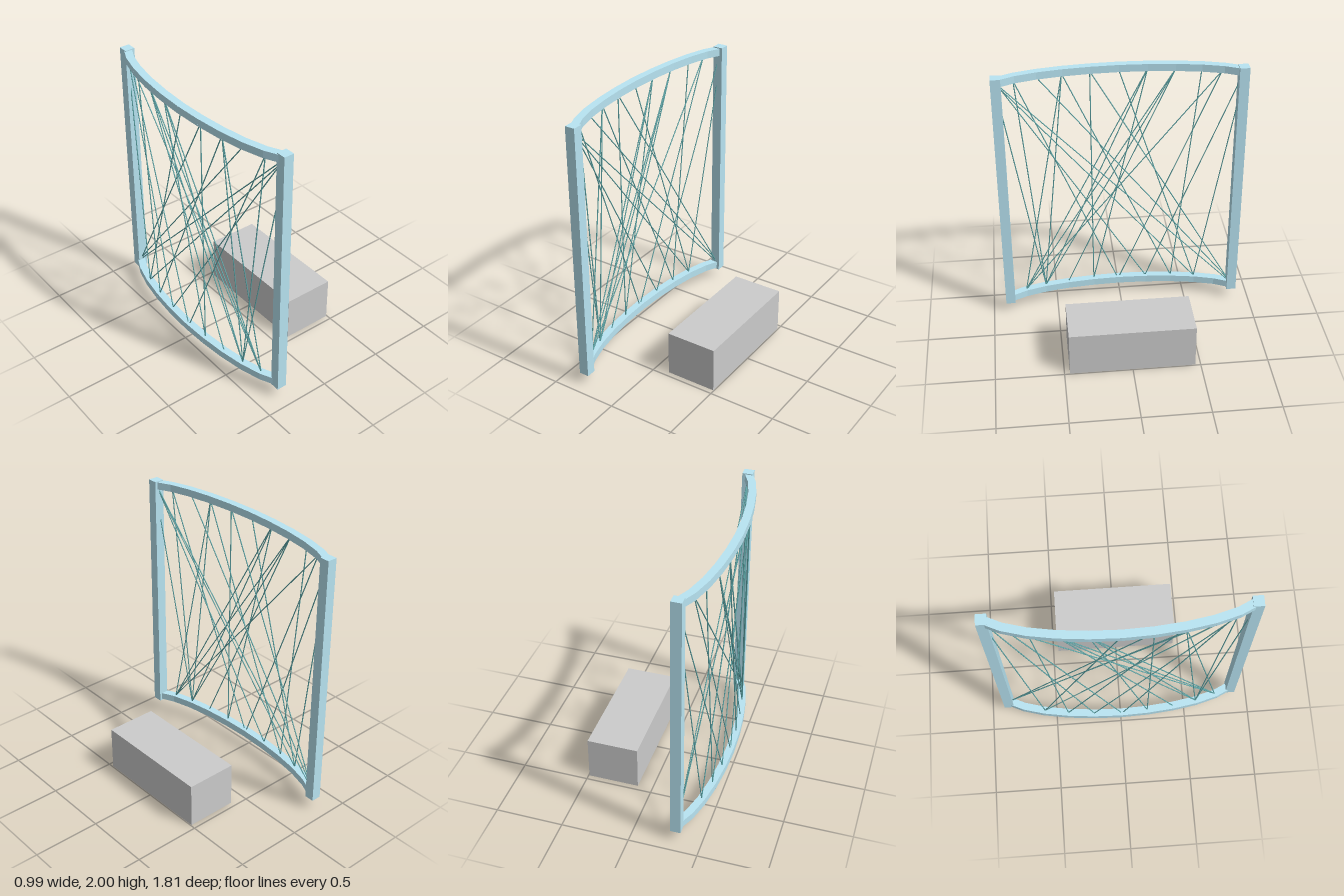
import * as THREE from 'three';

const frameMat = new THREE.MeshStandardMaterial({ color: 0xb8e4f2 });
const stringMat = new THREE.MeshStandardMaterial({ color: 0x5fa8aa });
const benchMat = new THREE.MeshStandardMaterial({ color: 0xcccccc });

// Joints of the bowed rails, as [x, z] from the middle to one end
const half = [[-0.469, 0], [-0.462, 0.205], [-0.443, 0.405], [-0.412, 0.59], [-0.369, 0.745], [-0.315, 0.86]];
const joints = [...half.slice(1).reverse().map(([x, z]) => [x, -z]), ...half];

// Rail centreline x at a given z
function railX(z) {
  const i = Math.max(1, joints.findIndex((joint) => z <= joint[1]));
  const [x0, z0] = joints[i - 1], [x1, z1] = joints[i];
  return x0 + (x1 - x0) * (z - z0) / (z1 - z0);
}

function box(name, w, h, d, x, y, z, mat) {
  const mesh = new THREE.Mesh(new THREE.BoxGeometry(w, h, d), mat);
  mesh.name = name;
  mesh.position.set(x, y, z);
  return mesh;
}

// Bowed rail made of straight, slightly overlapping segments
function rail(name, y) {
  const group = new THREE.Group();
  group.name = name;
  for (let i = 0; i < joints.length - 1; i++) {
    const [x0, z0] = joints[i], [x1, z1] = joints[i + 1];
    const len = Math.hypot(x1 - x0, z1 - z0) + 0.006;
    const seg = box('railSegment', 0.056, 0.055, len, (x0 + x1) / 2, y, (z0 + z1) / 2, frameMat);
    seg.rotation.y = Math.atan2(x1 - x0, z1 - z0);
    group.add(seg);
  }
  return group;
}

// Thin taut string between two points of the frame
function string([zTop, yTop, zBottom, yBottom]) {
  const a = new THREE.Vector3(railX(zTop), yTop, zTop);
  const b = new THREE.Vector3(railX(zBottom), yBottom, zBottom);
  const dir = a.clone().sub(b);
  const mesh = new THREE.Mesh(new THREE.CylinderGeometry(0.004, 0.004, dir.length(), 8), stringMat);
  mesh.name = 'string';
  mesh.position.copy(a).add(b).multiplyScalar(0.5);
  mesh.quaternion.setFromUnitVectors(new THREE.Vector3(0, 1, 0), dir.normalize());
  return mesh;
}

export function createModel() {
  const model = new THREE.Group();
  model.name = 'stringScreenAndBench';

  // Frame
  for (const s of [-1, 1]) {
    model.add(box(s > 0 ? 'frontPost' : 'backPost', 0.074, 1.92, 0.072, -0.315, 1.04, s * 0.867, frameMat));
  }
  model.add(rail('topRail', 1.965), rail('bottomRail', 0.118));

  // Strings: z and y at the top, then z and y at the bottom
  const T = 1.945, B = 0.14;
  const strings = new THREE.Group();
  strings.name = 'strings';
  [
    [0.858, 1.95, -0.858, 0.13],
    [0.858, 1.94, -0.585, B],
    [0.858, 1.95, -0.205, B],
    [0.858, 1.84, 0.585, B],
    [0.745, T, 0.585, B],
    [0.745, T, 0.02, B],
    [0.585, T, -0.858, 0.14],
    [0.405, T, 0.74, B],
    [0.405, T, 0.585, B],
    [0.405, T, -0.405, B],
    [0.205, T, 0.205, B],
    [0.205, T, -0.858, 0.13],
    [0, T, -0.585, B],
    [-0.205, T, 0.205, B],
    [-0.205, T, 0.585, B],
    [-0.205, T, 0.74, B],
    [-0.405, T, 0.405, B],
    [-0.405, T, 0.585, B],
    [-0.405, T, 0.74, B],
    [-0.585, T, -0.405, B],
    [-0.725, T, 0, B],
    [-0.725, T, 0.74, B],
    [-0.858, 1.93, -0.205, B],
    [-0.858, 1.84, -0.585, B],
  ].forEach((ends) => strings.add(string(ends)));
  model.add(strings);

  // Bench block
  model.add(box('bench', 0.382, 0.34, 0.92, 0.303, 0.17, 0, benchMat));
  return model;
}
